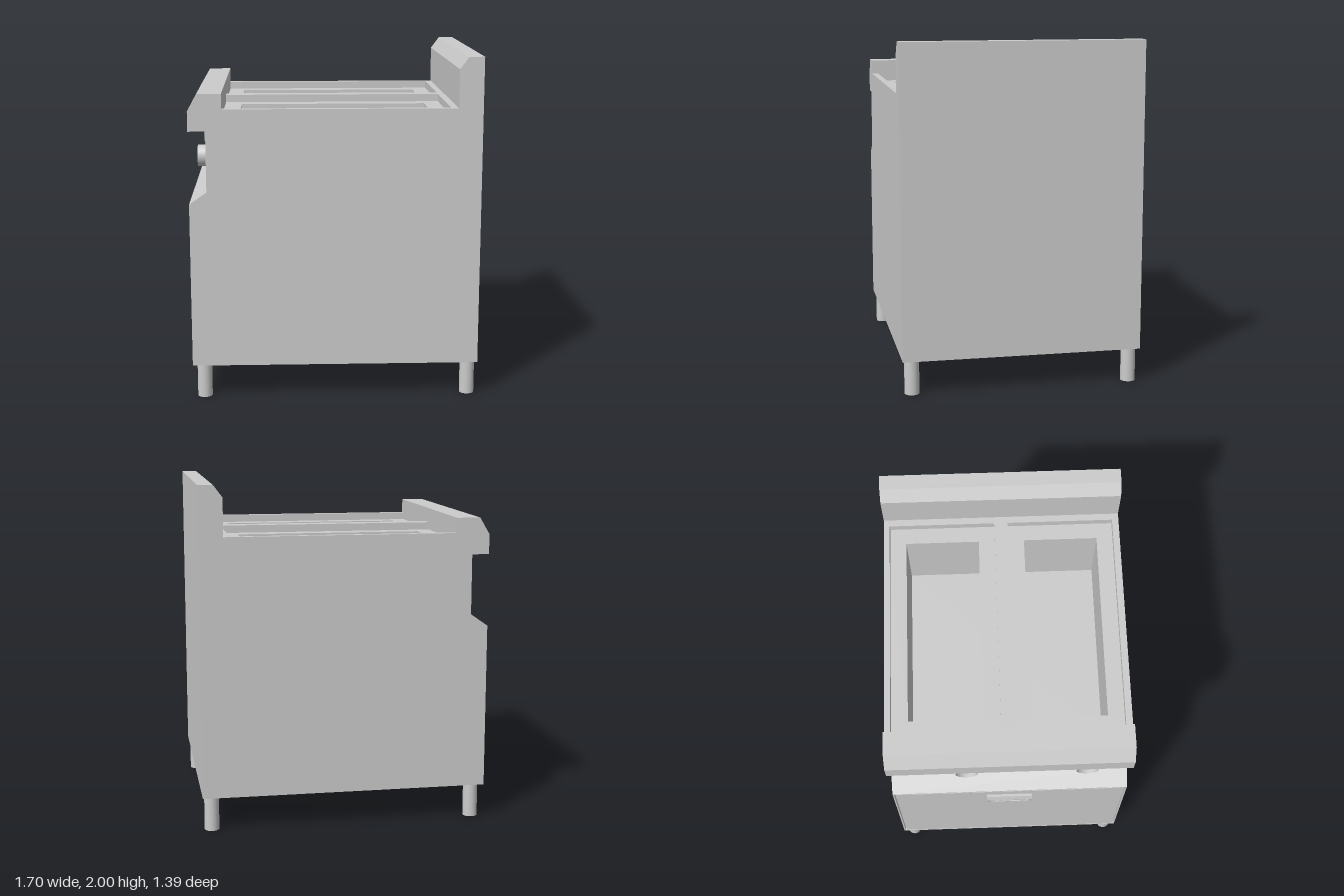
import * as THREE from 'three';

const material = new THREE.MeshStandardMaterial({ color: 0xcccccc });
const openMaterial = new THREE.MeshStandardMaterial({ color: 0xcccccc, side: THREE.DoubleSide });
const HALF = 0.6975; // half width of the cabinet along z
const PANEL = 0.009; // side sheet thickness

function add(parent, name, geometry, mat = material) {
  const mesh = new THREE.Mesh(geometry, mat);
  mesh.name = name;
  parent.add(mesh);
  return mesh;
}

const toShape = (points) => new THREE.Shape(points.map(([x, y]) => new THREE.Vector2(x, y)));

// Extrudes an x-y profile along z between z0 and z1
function profile(points, z0, z1) {
  const g = new THREE.ExtrudeGeometry(toShape(points), { depth: z1 - z0, bevelEnabled: false });
  return g.translate(0, 0, z0);
}

// Counter-clockwise rectangle, laid flat later by slab()
const rect = (x0, x1, z0, z1) => [[x0, -z1], [x1, -z1], [x1, -z0], [x0, -z0]];

// Horizontal slab between y0 and y1 with rectangular openings
function slab(outline, holes, y0, y1) {
  const shape = toShape(rect(...outline));
  for (const h of holes) shape.holes.push(toShape(rect(...h)));
  const g = new THREE.ExtrudeGeometry(shape, { depth: y1 - y0, bevelEnabled: false });
  return g.rotateX(-Math.PI / 2).translate(0, y0, 0);
}

function box(x0, x1, y0, y1, z0, z1) {
  return new THREE.BoxGeometry(x1 - x0, y1 - y0, z1 - z0)
    .translate((x0 + x1) / 2, (y0 + y1) / 2, (z0 + z1) / 2);
}

// Open-ended tube standing on the origin plane
const tube = (radius, length) => new THREE.CylinderGeometry(radius, radius, length, 32, 1, true);

export function createModel() {
  const model = new THREE.Group();
  model.name = 'twinBasinCooker';
  const inner = HALF - PANEL;

  // Outlines shared by the side sheets and the parts between them
  const splashTop = [[0.85, 2], [0.762, 2], [0.71, 1.93]];
  const fasciaTop = [[-0.633, 1.797], [-0.768, 1.797], [-0.825, 1.7], [-0.825, 1.585],
    [-0.725, 1.585], [-0.725, 1.235], [-0.825, 1.165]];

  // Side sheets
  const side = [[-0.825, 0.2], [0.85, 0.2], ...splashTop, [0.71, 1.71], [-0.633, 1.71], ...fasciaTop];
  add(model, 'leftSidePanel', profile(side, inner, HALF));
  add(model, 'rightSidePanel', profile(side, -HALF, -inner));

  // Upstand wall, control fascia and cabinet, with thin lips round the underside
  add(model, 'splashback', profile(
    [[0.71, 0.212], [0.838, 0.212], [0.838, 0.2], [0.85, 0.2], ...splashTop], -inner, inner));
  add(model, 'controlFascia', profile(
    [[-0.825, 0.2], [-0.813, 0.2], [-0.813, 0.212], [-0.633, 0.212], ...fasciaTop,
      [-0.825, 1.157], [-0.805, 1.157], [-0.805, 0.21], [-0.825, 0.21]], -inner, inner));
  add(model, 'cabinet', box(-0.633, 0.71, 0.212, 1.21, -inner, inner));

  // Worktop with two shallow recesses, each leading into a deep basin
  const deck = [-0.66, 0.72, -inner, inner];
  add(model, 'worktop', slab(deck,
    [[-0.633, 0.67, -0.663, -0.042], [-0.633, 0.67, 0.038, 0.659]], 1.665, 1.71));
  add(model, 'basins', slab(deck,
    [[-0.535, 0.574, -0.567, -0.137], [-0.535, 0.574, 0.132, 0.564]], 1.21, 1.665));

  // Door with a narrow gap all round
  add(model, 'door', box(-0.825, -0.8, 0.22, 1.147, -0.68, 0.68));

  // Framed pull handle
  const handle = new THREE.Group();
  handle.name = 'doorHandle';
  model.add(handle);
  const cheek = [[-0.823, 0.915], [-0.823, 1.085], [-0.84, 1.085], [-0.85, 1.04], [-0.827, 0.915]];
  add(handle, 'handleCheek', profile(cheek, -0.137, -0.119));
  add(handle, 'handleCheek', profile(cheek, 0.114, 0.132));
  add(handle, 'handleLip', profile(
    [[-0.823, 1.025], [-0.823, 1.085], [-0.84, 1.085], [-0.85, 1.04], [-0.847, 1.025]], -0.119, 0.114));
  add(handle, 'handleSill', profile(
    [[-0.823, 0.915], [-0.823, 0.93], [-0.83, 0.93], [-0.827, 0.915]], -0.119, 0.114));

  // Control knobs, hollow rings on the fascia
  for (const z of [-0.25, 0.45]) {
    const knob = add(model, 'knob', tube(0.063, 0.06).rotateZ(Math.PI / 2), openMaterial);
    knob.position.set(-0.753, 1.407, z);
  }

  // Tubular legs
  for (const x of [-0.758, 0.796]) {
    for (const z of [-0.641, 0.641]) {
      const leg = add(model, 'leg', tube(0.043, 0.214), openMaterial);
      leg.position.set(x, 0.107, z);
    }
  }
  return model;
}
